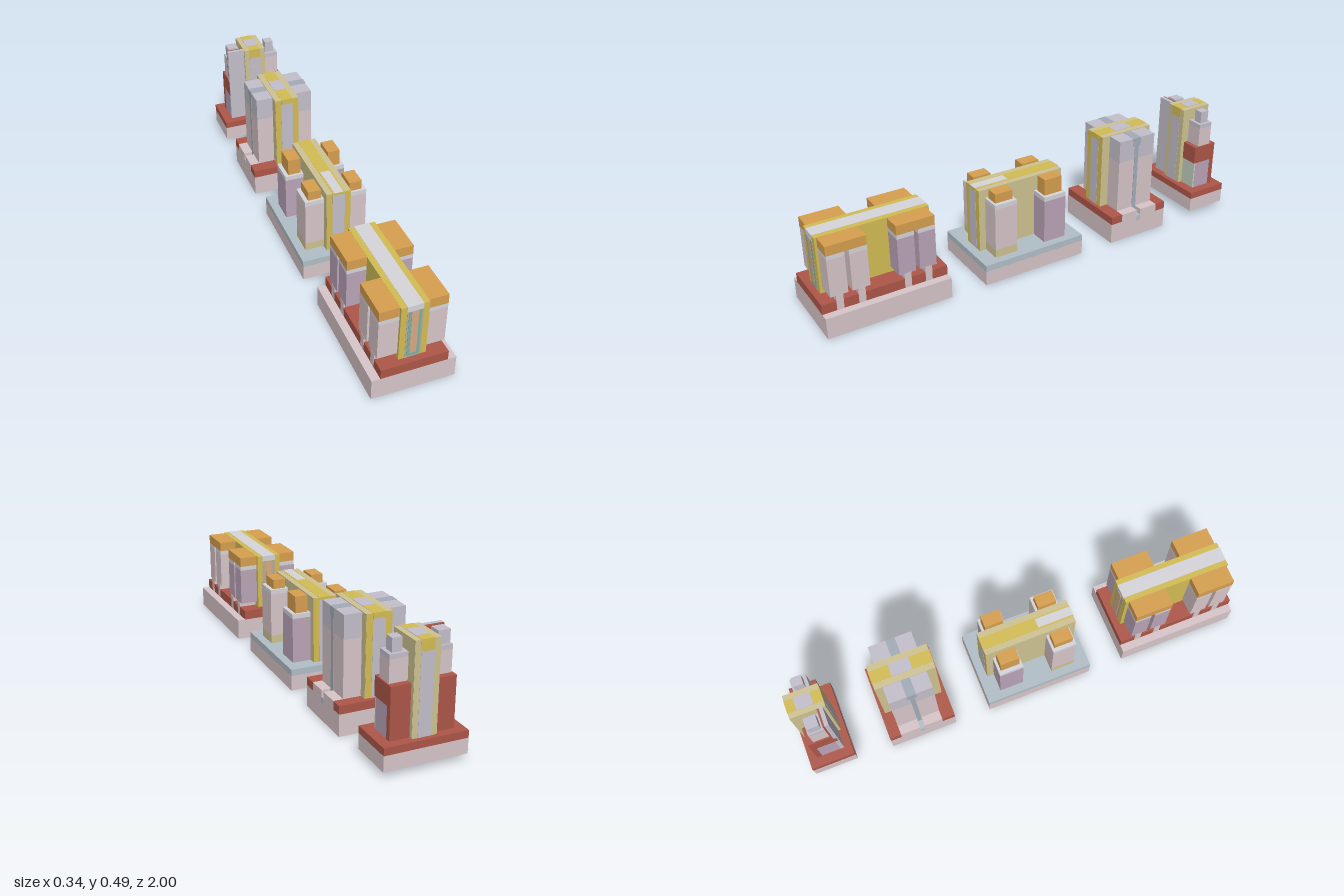
import * as THREE from 'three';

const COLORS = {
  pink: 0xd8c6ca, red: 0xae5748, orange: 0xd8a050, yellow: 0xd4bd55, khaki: 0xcfc493,
  mauve: 0xbba5b8, blue: 0xb2bfc8, steel: 0xa3adb8, lilac: 0xc4c0cc, pale: 0xd6d6dc,
  teal: 0x78b2aa, peach: 0xd8ab82, green: 0xc4d0c2, sand: 0xbdaa92
};
const materials = {};
for (const key in COLORS) materials[key] = new THREE.MeshStandardMaterial({ color: COLORS[key] });

// Box given by its limits on each axis
function box(group, name, color, [x0, x1], [y0, y1], [z0, z1]) {
  const mesh = new THREE.Mesh(new THREE.BoxGeometry(x1 - x0, y1 - y0, z1 - z0), materials[color]);
  mesh.position.set((x0 + x1) / 2, (y0 + y1) / 2, (z0 + z1) / 2);
  mesh.name = name;
  group.add(mesh);
}

// The same box on both sides of x = 0
function pair(group, name, color, [x0, x1], y, z) {
  box(group, name, color, [x0, x1], y, z);
  box(group, name, color, [-x1, -x0], y, z);
}

const wide = (w) => [-w, w];
const grow = ([a, b], d) => [a - d, b + d];

function part(model, name) {
  const group = new THREE.Group();
  group.name = name;
  model.add(group);
  return group;
}

// Gate wall with khaki sides, end faces and a dark core showing at each end
function gate(group, endColor, w, [y0, y1], z, coreTop) {
  box(group, 'gateWall', 'khaki', wide(w), [y0, y1], z);
  box(group, 'gateEnds', endColor, wide(w - 0.001), [y0, y1 - 0.001], grow(z, 0.001));
  box(group, 'gateCap', 'yellow', wide(0.027), [coreTop, y1 + 0.001], grow(z, 0.002));
  box(group, 'gateCore', 'lilac', wide(0.027), [y0, coreTop], grow(z, 0.002));
}

// Front block: finned device with a layered gate
function finBlock(model) {
  const g = part(model, 'finBlock');
  box(g, 'base', 'pink', wide(0.171), [0, 0.093], [0.458, 0.998]);
  box(g, 'insulator', 'red', wide(0.136), [0.093, 0.135], [0.458, 0.998]);
  const z = [0.488, 0.97];
  box(g, 'gateWall', 'yellow', wide(0.056), [0.135, 0.384], z);
  box(g, 'gateLiner', 'sand', wide(0.032), [0.135, 0.36], grow(z, 0.001));
  box(g, 'gateCap', 'pale', wide(0.032), [0.36, 0.385], grow(z, 0.001));
  box(g, 'gateMetal', 'teal', wide(0.025), [0.143, 0.36], [0.6, 0.972]);
  box(g, 'gateFill', 'peach', wide(0.014), [0.155, 0.36], grow(z, 0.003));
  for (const [color, centers, cap] of [
    ['pink', [0.922, 0.83], [0.793, 0.96]],
    ['mauve', [0.633, 0.541], [0.504, 0.671]]
  ]) {
    for (const c of centers) {
      box(g, 'finStem', 'pink', wide(0.137), [0.085, 0.16], [c - 0.015, c + 0.015]);
      pair(g, 'fin', color, [0.05, 0.136], [0.158, 0.322], [c - 0.037, c + 0.037]);
      pair(g, 'finTop', 'pale', [0.05, 0.136], [0.322, 0.341], [c - 0.037, c + 0.037]);
    }
    pair(g, 'contact', 'orange', [0.05, 0.136], [0.341, 0.383], cap);
  }
}

// Second block: four separate contact columns beside a long gate
function columnBlock(model) {
  const g = part(model, 'columnBlock');
  box(g, 'base', 'pink', wide(0.171), [0, 0.066], [-0.188, 0.296]);
  box(g, 'insulator', 'blue', wide(0.171), [0.066, 0.094], [-0.188, 0.296]);
  const z = [-0.15, 0.257];
  gate(g, 'yellow', 0.053, [0.094, 0.38], z, 0.37);
  box(g, 'gateTop', 'pale', wide(0.02), [0.37, 0.382], [0.1, 0.259]);
  for (const [color, z0, z1, top] of [['pink', 0.123, 0.228, 0.342], ['mauve', -0.12, -0.013, 0.31]]) {
    const zc = [z0, z1];
    if (color === 'pink') pair(g, 'columnFoot', 'khaki', [0.05, 0.135], [0.094, 0.13], zc);
    pair(g, 'column', color, [0.05, 0.135], [color === 'pink' ? 0.13 : 0.094, top - 0.02], zc);
    pair(g, 'columnTop', 'pale', [0.05, 0.135], [top - 0.02, top], zc);
    pair(g, 'contact', 'orange', [0.063, 0.118], [top, 0.383], grow(zc, -0.011));
  }
}

// Third block: tall body split by a thin dividing wall
function splitBlock(model) {
  const g = part(model, 'splitBlock');
  box(g, 'base', 'pink', wide(0.171), [0, 0.093], [-0.646, -0.349]);
  box(g, 'insulatorFront', 'red', wide(0.171), [0.093, 0.128], [-0.406, -0.349]);
  box(g, 'insulatorBack', 'red', wide(0.171), [0.093, 0.128], [-0.646, -0.596]);
  for (const z of [[-0.488, -0.406], [-0.596, -0.508]])
    box(g, 'pedestal', 'pink', wide(0.171), [0.093, 0.128], z);
  box(g, 'wallFoot', 'blue', wide(0.172), [0.075, 0.1], [-0.508, -0.488]);
  box(g, 'body', 'pink', wide(0.13), [0.128, 0.367], [-0.594, -0.406]);
  box(g, 'bodyTop', 'lilac', wide(0.13), [0.367, 0.467], [-0.594, -0.406]);
  box(g, 'dividingWall', 'steel', wide(0.132), [0.094, 0.43], [-0.508, -0.488]);
  box(g, 'dividingWallTop', 'steel', wide(0.132), [0.43, 0.468], [-0.518, -0.478]);
  gate(g, 'yellow', 0.055, [0.128, 0.47], [-0.627, -0.367], 0.448);
  box(g, 'gateTop', 'lilac', wide(0.028), [0.46, 0.472], [-0.543, -0.455]);
}

// Rear block: stacked columns with a tall side plate
function stackedBlock(model) {
  const g = part(model, 'stackedBlock');
  box(g, 'base', 'pink', wide(0.171), [0.03, 0.093], [-0.999, -0.808]);
  box(g, 'insulator', 'red', wide(0.171), [0.093, 0.123], [-0.999, -0.808]);
  gate(g, 'khaki', 0.051, [0.123, 0.492], [-0.977, -0.83], 0.448);
  box(g, 'gateTop', 'lilac', wide(0.028), [0.48, 0.494], [-0.94, -0.87]);
  pair(g, 'lowerColumn', 'mauve', [0.04, 0.13], [0.123, 0.25], [-0.94, -0.857]);
  box(g, 'lowerFace', 'green', [0.04, 0.129], [0.123, 0.25], [-0.857, -0.849]);
  pair(g, 'columnCover', 'red', [0.04, 0.131], [0.25, 0.33], [-0.962, -0.846]);
  pair(g, 'columnBack', 'red', [0.04, 0.131], [0.123, 0.25], [-0.962, -0.94]);
  pair(g, 'upperColumn', 'pink', [0.04, 0.125], [0.33, 0.42], [-0.936, -0.867]);
  pair(g, 'upperColumnTop', 'lilac', [0.04, 0.125], [0.42, 0.438], [-0.936, -0.867]);
  box(g, 'leftContact', 'lilac', [0.07, 0.11], [0.438, 0.492], [-0.924, -0.882]);
  box(g, 'rightContact', 'lilac', [-0.118, -0.068], [0.438, 0.492], [-0.928, -0.878]);
  box(g, 'sidePlate', 'lilac', [-0.131, -0.04], [0.123, 0.492], [-0.858, -0.841]);
  box(g, 'sidePlateBacking', 'red', [-0.13, -0.04], [0.33, 0.491], [-0.866, -0.858]);
}

export function createModel() {
  const model = new THREE.Group();
  model.name = 'deviceBlocks';
  finBlock(model);
  columnBlock(model);
  splitBlock(model);
  stackedBlock(model);
  return model;
}
